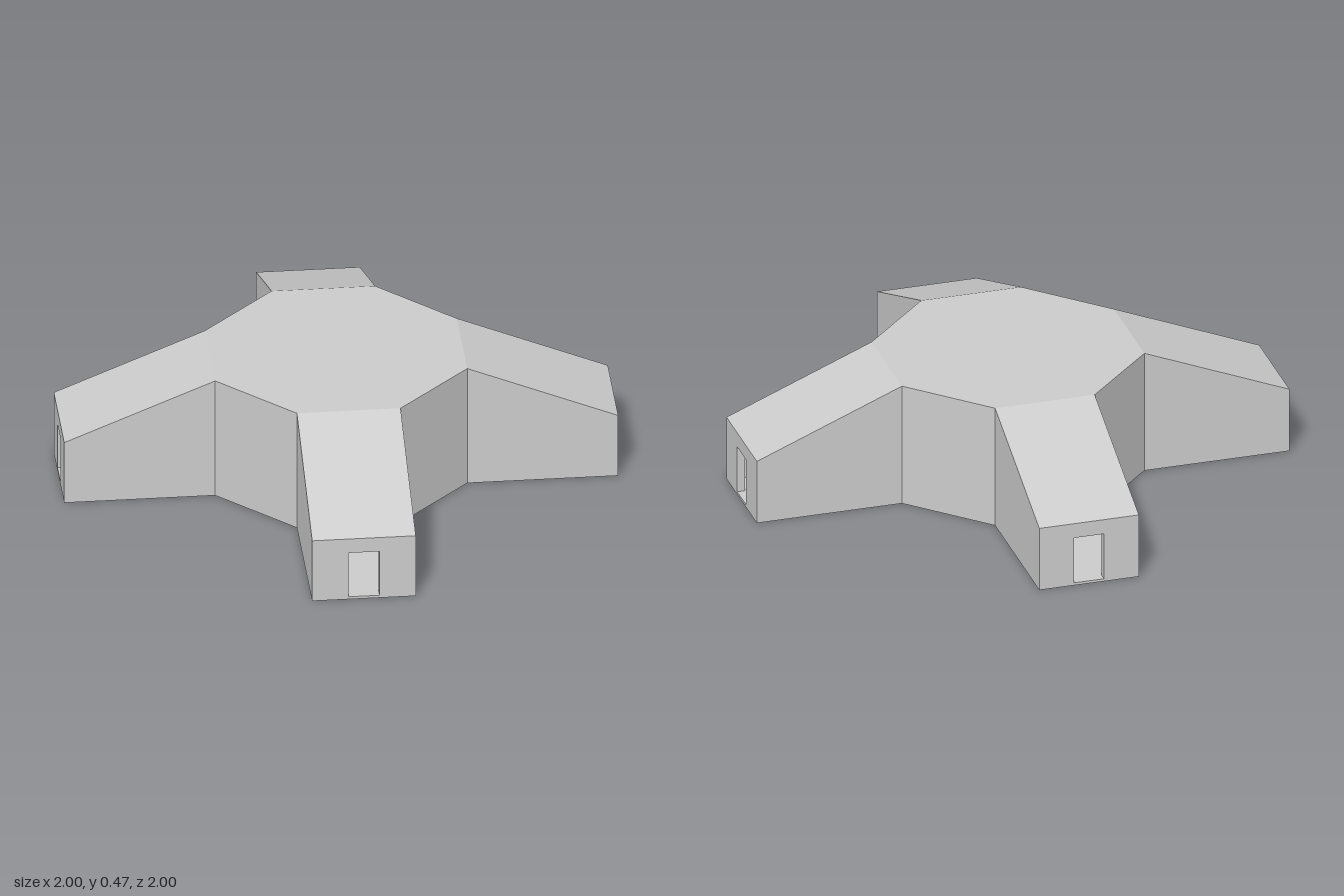
import * as THREE from 'three';

const HUB = 0.455;   // distance from centre to the hub edge
const HALF = 0.187;  // half width of an arm
const WALL = 0.03;   // wall and roof thickness
const FLOOR = 0.01;
const TOP = 0.47;    // hub roof height
const EAVE = 0.247;  // height at the arm's outer end
const INNER = HALF - WALL;

const material = new THREE.MeshStandardMaterial({ color: 0xcccccc, flatShading: true });

const outline = (points) => new THREE.Shape(points.map(([x, y]) => new THREE.Vector2(x, y)));
const extrude = (shape, depth) => new THREE.ExtrudeGeometry(shape, { depth, bevelEnabled: false });

function part(name, geometry) {
  const mesh = new THREE.Mesh(geometry, material);
  mesh.name = name;
  return mesh;
}

// Slab from a plan outline, rising from y
function planSlab(name, points, y, height) {
  return part(name, extrude(outline(points), height).rotateX(-Math.PI / 2).translate(0, y, 0));
}

// Slab from a (z, y) profile, running from x - width to x
function profileSlab(name, points, x, width) {
  return part(name, extrude(outline(points), width).rotateY(-Math.PI / 2).translate(x, 0, 0));
}

// Repeats a list of plan points for all four quarter turns
function quarterTurns(points) {
  const result = [];
  for (let i = 0; i < 4; i++) {
    for (const [x, y] of points) {
      result.push([[x, y], [-y, x], [-x, -y], [y, -x]][i]);
    }
  }
  return result;
}

// One hollow arm pointing to +z, with an open doorway at its end
function createArm() {
  const arm = new THREE.Group();
  arm.name = 'entranceArm';

  const side = [[HUB, FLOOR], [1, FLOOR], [1, EAVE], [HUB, TOP]];
  arm.add(profileSlab('leftSideWall', side, HALF, WALL));
  arm.add(profileSlab('rightSideWall', side, -INNER, WALL));

  const slope = [[HUB, TOP - WALL], [1, EAVE - WALL], [1, EAVE], [HUB, TOP]];
  arm.add(profileSlab('slopingRoof', slope, INNER, 2 * INNER));

  // End wall wraps around the doorway
  const door = 0.056, doorTop = 0.19, top = EAVE - WALL;
  const end = outline([
    [-INNER, FLOOR], [-door, FLOOR], [-door, doorTop], [door, doorTop],
    [door, FLOOR], [INNER, FLOOR], [INNER, top], [-INNER, top],
  ]);
  arm.add(part('doorwayWall', extrude(end, WALL).translate(0, 0, 1 - WALL)));
  return arm;
}

export function createModel() {
  const model = new THREE.Group();
  model.name = 'crossShapedBuilding';

  // Cross-shaped floor and octagonal hub roof
  const cross = [[1, -HALF], [1, HALF], [HUB, HALF], [HALF, HUB]];
  model.add(planSlab('floor', quarterTurns(cross), 0, FLOOR));
  const octagon = [[HUB, -HALF], [HUB, HALF]];
  model.add(planSlab('hubRoof', quarterTurns(octagon), TOP - WALL, WALL));

  // Diagonal hub wall with mitred inner corners
  const mitre = HUB - WALL * Math.tan(Math.PI / 8);
  const diagonal = [
    [HUB, HALF], [HALF, HUB], [INNER, HUB], [INNER, mitre], [mitre, INNER], [HUB, INNER],
  ];

  for (let i = 0; i < 4; i++) {
    const arm = createArm();
    arm.rotation.y = (i * Math.PI) / 2;
    model.add(arm);

    const wall = planSlab('diagonalWall', diagonal, FLOOR, TOP - WALL - FLOOR);
    wall.rotation.y = (i * Math.PI) / 2;
    model.add(wall);
  }
  return model;
}
